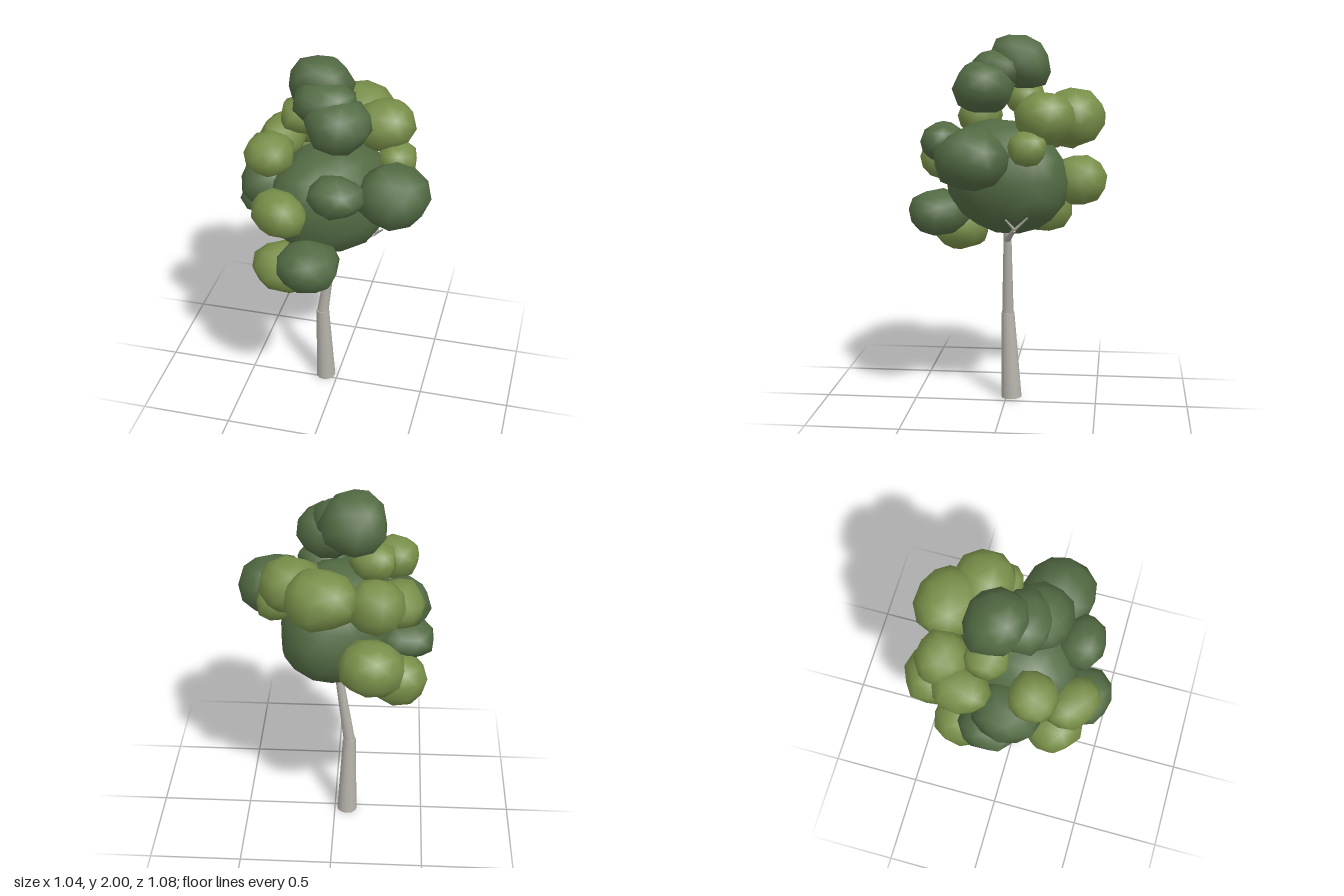
import * as THREE from 'three';
import { mergeVertices } from 'three/addons/utils/BufferGeometryUtils.js';

const V = (x, y, z) => new THREE.Vector3(x, y, z);

// Lumpy smooth-shaded ball, sheared in z by x and y, then fitted exactly to the half sizes
function leafBall(rx, ry, rz, shearX, shearY, seed, detail) {
  let s = seed * 7919 + 17;
  const rnd = () => (s = (s * 16807) % 2147483647) / 2147483647;
  for (let i = 0; i < 5; i++) rnd();
  let g = new THREE.IcosahedronGeometry(1, detail);
  g.deleteAttribute('uv');
  g.deleteAttribute('normal');
  g = mergeVertices(g, 1e-4);
  g.rotateX(rnd() * 6).rotateY(rnd() * 6);
  const p = g.attributes.position;
  const jitter = detail > 1 ? 0.05 : 0.14;
  for (let i = 0; i < p.count; i++) {
    const k = 1 + (rnd() - 0.5) * jitter;
    const [x, y, z] = [p.getX(i), p.getY(i), p.getZ(i)].map((c) => Math.sign(c) * Math.abs(c) ** 0.93 * k);
    p.setXYZ(i, x, y, z + shearX * x + shearY * y);
  }
  g.center();
  g.computeBoundingBox();
  const b = g.boundingBox.max;
  g.scale(rx / b.x, ry / b.y, rz / b.z);
  g.computeVertexNormals();
  return g;
}

// Tapered limb between two points
function limb(a, b, ra, rb, material, name) {
  const dir = b.clone().sub(a);
  const m = new THREE.Mesh(new THREE.CylinderGeometry(rb, ra, dir.length(), 12), material);
  m.position.copy(a).addScaledVector(dir, 0.5);
  m.quaternion.setFromUnitVectors(V(0, 1, 0), dir.normalize());
  m.name = name;
  return m;
}

export function createModel() {
  const bark = new THREE.MeshStandardMaterial({ name: 'bark', color: 0xb6b2ab });
  const dark = new THREE.MeshStandardMaterial({ name: 'darkLeaves', color: 0x536b44 });
  const light = new THREE.MeshStandardMaterial({ name: 'lightLeaves', color: 0x788f49 });
  const tree = new THREE.Group();
  tree.name = 'tree';

  // Trunk in two leaning sections, a side branch and two twigs
  const fork = V(0.2, 1.0, -0.07);
  tree.add(
    limb(V(-0.07, 0, -0.03), V(-0.08, 0.485, -0.008), 0.056, 0.036, bark, 'lowerTrunk'),
    limb(V(-0.08, 0.475, -0.008), V(-0.015, 0.95, -0.012), 0.032, 0.021, bark, 'upperTrunk'),
    limb(V(-0.02, 0.905, -0.01), fork, 0.018, 0.01, bark, 'branch'),
    limb(fork, V(0.25, 1.06, -0.03), 0.008, 0.004, bark, 'frontTwig'),
    limb(fork, V(0.23, 1.07, -0.14), 0.008, 0.004, bark, 'backTwig'),
  );

  // Leaf clumps: centre x, y, z, half sizes, optional shear of z by x and y
  const addClumps = (list, material, name, seed) => list.forEach(([x, y, z, rx, ry, rz, sx = 0, sy = 0], i) => {
    const m = new THREE.Mesh(leafBall(rx, ry, rz, sx, sy, seed + i, rx > 0.3 ? 2 : 1), material);
    m.position.set(x, y, z);
    m.name = name + (i + 1);
    tree.add(m);
  });

  addClumps([
    [-0.025, 1.25, 0, 0.31, 0.305, 0.335, -0.2, 0.1], // core
    [-0.09, 1.86, -0.075, 0.17, 0.14, 0.16, 0, 0.2],  // crown
    [-0.045, 1.82, 0.05, 0.16, 0.11, 0.135],
    [0.035, 1.73, 0.11, 0.17, 0.135, 0.165],
    [0.335, 1.385, 0.135, 0.19, 0.163, 0.19],         // left side
    [0.08, 1.445, 0.32, 0.145, 0.11, 0.12],           // front
    [-0.06, 1.045, 0.365, 0.16, 0.13, 0.17],
    [-0.35, 1.345, 0.05, 0.155, 0.135, 0.175],        // right side
    [-0.37, 1.19, -0.04, 0.15, 0.105, 0.16],
  ], dark, 'darkClump', 1);

  addClumps([
    [-0.205, 1.325, 0.355, 0.145, 0.12, 0.135, 0.2],  // front
    [-0.2, 0.95, 0.27, 0.18, 0.138, 0.155],
    [-0.305, 1.555, 0.17, 0.125, 0.11, 0.125],
    [-0.19, 1.665, -0.09, 0.12, 0.1, 0.11],           // under the crown
    [0.21, 1.585, -0.225, 0.163, 0.138, 0.158],       // back
    [0.055, 1.58, -0.365, 0.178, 0.152, 0.167],
    [-0.22, 1.525, -0.32, 0.145, 0.14, 0.14],
    [-0.34, 1.48, -0.19, 0.125, 0.11, 0.15],
    [0.295, 1.44, -0.14, 0.1, 0.095, 0.1],
    [-0.2, 1.215, -0.395, 0.165, 0.135, 0.148],
    [-0.325, 1.04, -0.19, 0.165, 0.14, 0.158, 0.1],
  ], light, 'lightClump', 30);

  return tree;
}
